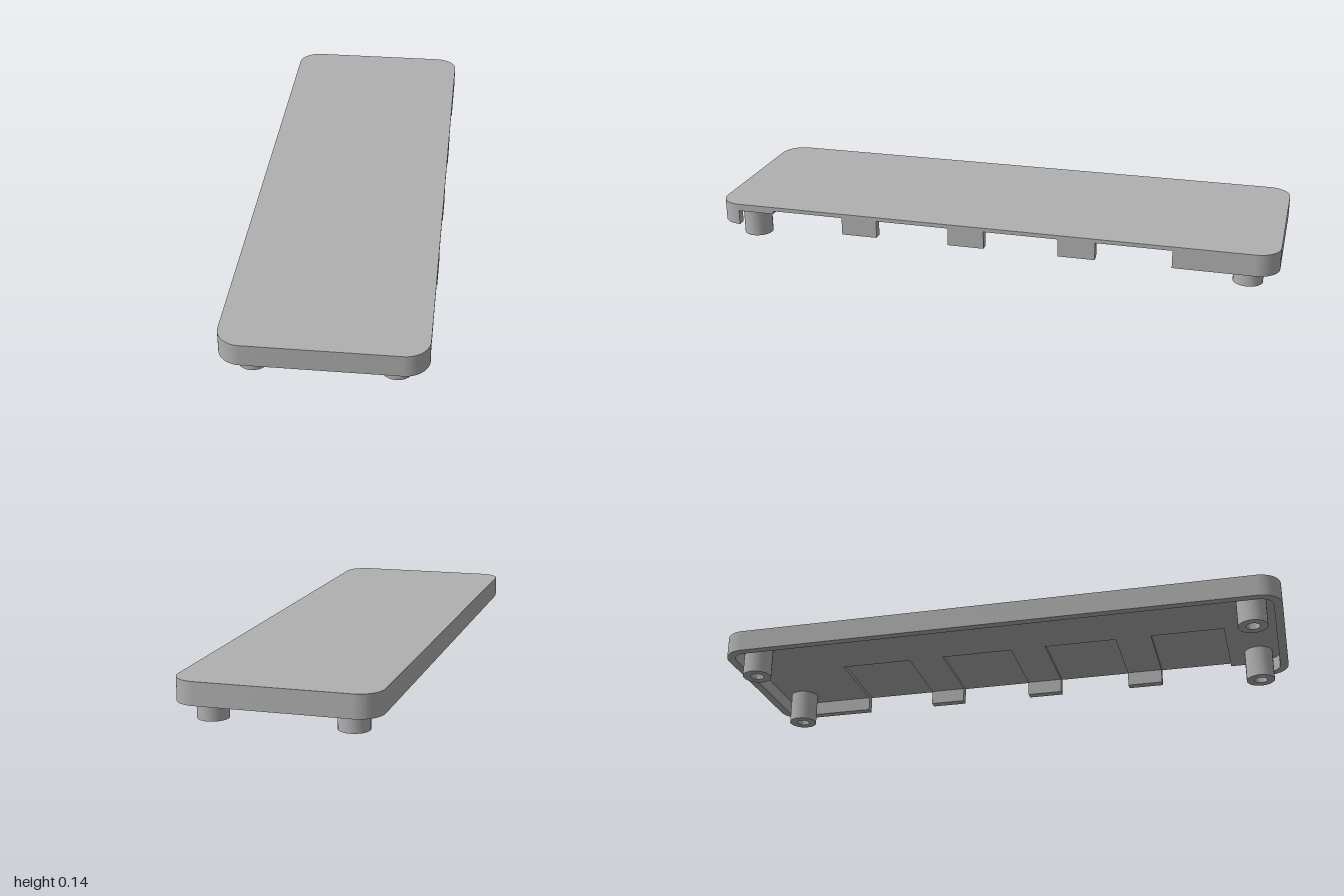
import * as THREE from 'three';
import { toCreasedNormals } from 'three/addons/utils/BufferGeometryUtils.js';

const W = 0.33, L = 1, R = 0.08, WALL = 0.03;      // half width, half length, corner radius, rim
const BOTTOM = 0.0625, UNDERSIDE = 0.114, POCKET = 0.125, TOP = 0.139;
const POCKET_X = 0;                                 // inner edge of the pockets
const notches = [0, 1, 2, 3].map((i) => {
  const z1 = 0.787 - i * 0.391;
  return [z1 - 0.262, z1];                          // [back, front]
});

// Rounded outline traced from the +x edge at z = to, round the plate, back to z = from
function traceOutline(path, hw, hl, r, from, to) {
  path.moveTo(hw, to);
  path.absarc(hw - r, hl - r, r, 0, Math.PI / 2);
  path.absarc(-hw + r, hl - r, r, Math.PI / 2, Math.PI);
  path.absarc(-hw + r, -hl + r, r, Math.PI, Math.PI * 1.5);
  path.absarc(hw - r, -hl + r, r, Math.PI * 1.5, Math.PI * 2);
  path.lineTo(hw, from);
  return path;
}

// Extrude an x/z shape between two heights
function slab(shape, y0, y1) {
  const g = new THREE.ExtrudeGeometry(shape, { depth: y1 - y0, bevelEnabled: false, curveSegments: 12 });
  g.rotateX(Math.PI / 2);
  g.translate(0, y1, 0);
  return toCreasedNormals(g, 0.6);
}

export function createModel() {
  const model = new THREE.Group();
  model.name = 'cover';
  const grey = new THREE.MeshStandardMaterial({ color: 0xb0b0b0 });
  grey.name = 'grey';
  const add = (name, geometry) => {
    const mesh = new THREE.Mesh(geometry, grey);
    mesh.name = name;
    model.add(mesh);
    return mesh;
  };

  const zBack = notches[3][0], zFront = notches[0][1];

  // Top skin
  add('topPlate', slab(traceOutline(new THREE.Shape(), W, L, R, 0, 0), POCKET, TOP));

  // Lower skin, cut by the four shallow pockets open to the +x edge
  const lower = traceOutline(new THREE.Shape(), W, L, R, zBack, zFront);
  [...notches].reverse().forEach(([a, b]) => {
    lower.lineTo(W, a);
    lower.lineTo(POCKET_X, a);
    lower.lineTo(POCKET_X, b);
    lower.lineTo(W, b);
  });
  add('pocketedPlate', slab(lower, UNDERSIDE, POCKET));

  // Rim, open along the notched stretch of the +x side
  const rim = traceOutline(new THREE.Shape(), W, L, R, zBack, zFront);
  const inner = traceOutline(new THREE.Path(), W - WALL, L - WALL, R - WALL, zBack, zFront);
  inner.getPoints(12).reverse().forEach((p) => rim.lineTo(p.x, p.y));
  add('rim', slab(rim, BOTTOM, UNDERSIDE));

  // Rim tabs between the notches
  for (let i = 0; i < 3; i++) {
    const z0 = notches[i + 1][1], z1 = notches[i][0];
    add('rimTab', new THREE.BoxGeometry(WALL, UNDERSIDE - BOTTOM, z1 - z0))
      .position.set(W - WALL / 2, (UNDERSIDE + BOTTOM) / 2, (z0 + z1) / 2);
  }

  // Hollow standoff feet
  const ring = new THREE.Shape().absarc(0, 0, 0.051, 0, Math.PI * 2);
  ring.holes.push(new THREE.Path().absarc(0, 0, 0.024, 0, Math.PI * 2, true));
  const foot = slab(ring, 0, UNDERSIDE);
  for (const x of [-0.227, 0.227]) {
    for (const z of [-0.895, 0.895]) add('foot', foot).position.set(x, 0, z);
  }
  return model;
}
